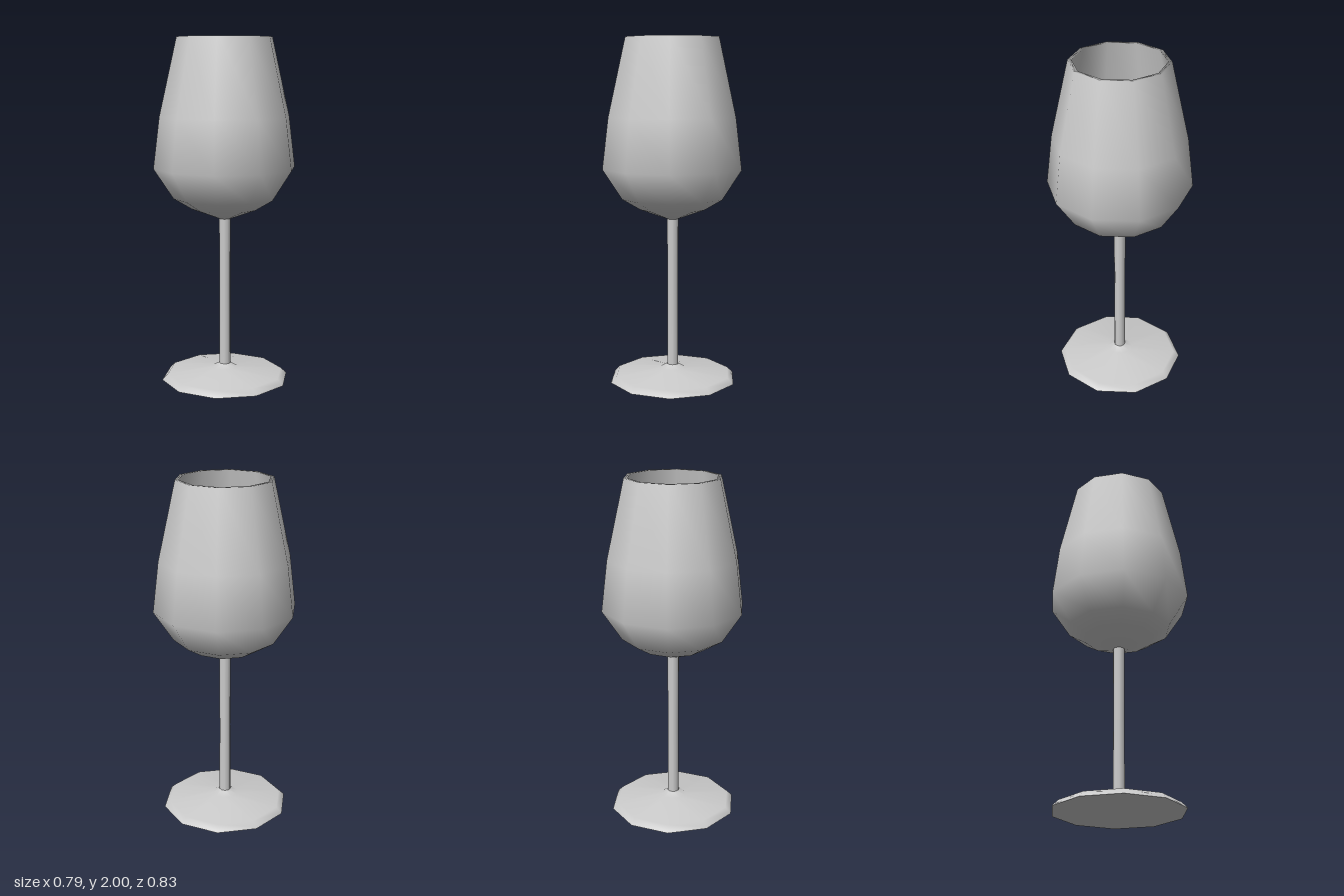
import * as THREE from 'three';

const SIDES = 10;
const material = new THREE.MeshStandardMaterial({ color: 0xcccccc });

// Revolve a [radius, height] profile around the y axis.
function turned(name, profile) {
  const points = profile.map(([r, y]) => new THREE.Vector2(r, y));
  const mesh = new THREE.Mesh(new THREE.LatheGeometry(points, SIDES), material);
  mesh.name = name;
  return mesh;
}

export function createModel() {
  const glass = new THREE.Group();
  glass.name = 'wineGlass';

  // Foot: bevelled edge, shallow cone and flare into the stem
  glass.add(turned('foot', [
    [0.376, 0], [0.37, 0.008], [0.342, 0.035], [0.075, 0.064], [0.034, 0.088],
  ]));

  // Flat underside of the foot
  const underside = new THREE.Mesh(
    new THREE.CircleGeometry(0.376, SIDES, Math.PI / 2).rotateX(Math.PI / 2),
    material,
  );
  underside.name = 'footUnderside';
  glass.add(underside);

  // Stem
  glass.add(turned('stem', [[0.034, 0.088], [0.032, 0.52], [0.034, 0.96]]));

  // Bowl: outer wall up to the rim, then back down the inner wall
  glass.add(turned('bowl', [
    [0.034, 0.96], [0.195, 1.02], [0.3, 1.083], [0.414, 1.257], [0.378, 1.55], [0.276, 2],
    [0.255, 2], [0.357, 1.55], [0.392, 1.262], [0.288, 1.1], [0.187, 1.04], [0, 0.98],
  ]));

  return glass;
}
